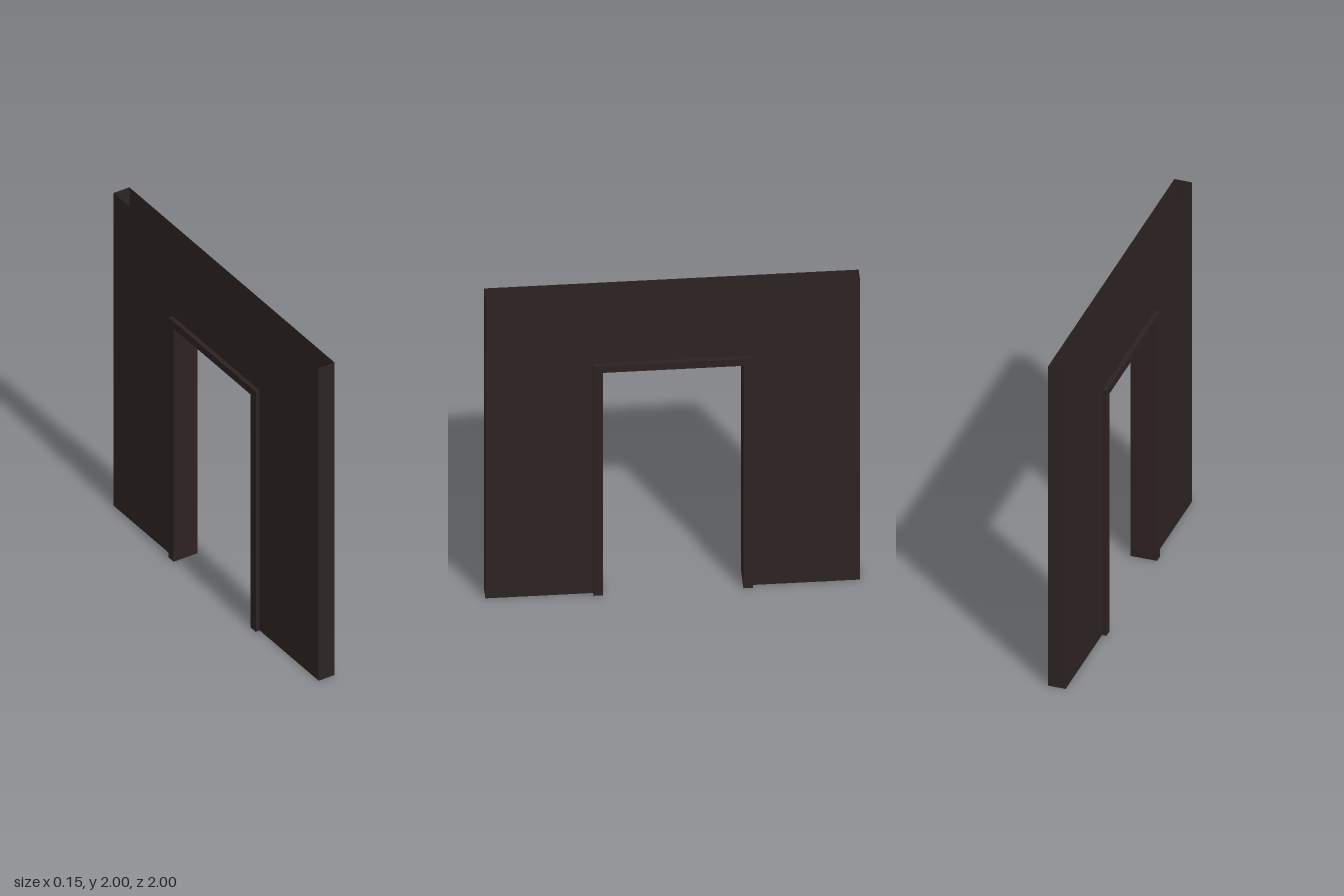
import * as THREE from 'three';

const wallPaint = new THREE.MeshStandardMaterial({ name: 'darkBrownWall', color: 0x2e2423, side: THREE.DoubleSide });
const framePaint = new THREE.MeshStandardMaterial({ name: 'darkBrownFrame', color: 0x2e2222, side: THREE.DoubleSide });

const WALL = { half: 0.05, outer: 1, top: 2, inner: 0.425, head: 1.535 };
const FRAME = { half: 0.075, outer: 0.425, top: 1.535, inner: 0.375, head: 1.49 };

// Upright arch outline with straight legs and a square opening
function archShape({ outer, top, inner, head }) {
  return new THREE.Shape([
    [-outer, 0], [-inner, 0], [-inner, head], [inner, head],
    [inner, 0], [outer, 0], [outer, top], [-outer, top],
  ].map(([z, y]) => new THREE.Vector2(z, y)));
}

function addMesh(group, name, geometry, material) {
  const mesh = new THREE.Mesh(geometry, material);
  mesh.name = name;
  group.add(mesh);
}

// The two large faces, looking along +x and -x
function addFaces(group, name, spec, material) {
  for (const side of [1, -1]) {
    const face = new THREE.ShapeGeometry(archShape(spec));
    face.rotateY(side * Math.PI / 2).translate(side * spec.half, 0, 0);
    addMesh(group, `${name}${side > 0 ? 'Left' : 'Right'}Face`, face, material);
  }
}

// A pair of upright strips at z = +-distance, facing outward or into the opening
function addUprights(group, name, half, distance, height, outward, material) {
  for (const end of [1, -1]) {
    const strip = new THREE.PlaneGeometry(half * 2, height);
    if (end * outward < 0) strip.rotateY(Math.PI);
    strip.translate(0, height / 2, end * distance);
    addMesh(group, `${name}${end > 0 ? 'Front' : 'Back'}`, strip, material);
  }
}

// A level strip facing up or down
function addLevel(group, name, half, reach, y, up, material) {
  const strip = new THREE.PlaneGeometry(half * 2, reach * 2);
  strip.rotateX(-up * Math.PI / 2).translate(0, y, 0);
  addMesh(group, name, strip, material);
}

export function createModel() {
  const model = new THREE.Group();
  model.name = 'doorwayWall';

  // Hollow wall, open along its top and bottom
  const wall = new THREE.Group();
  wall.name = 'wall';
  addFaces(wall, 'wall', WALL, wallPaint);
  addUprights(wall, 'wallEnd', WALL.half, WALL.outer, WALL.top, 1, wallPaint);

  // Door frame channel, slightly thicker than the wall and open at the feet
  const frame = new THREE.Group();
  frame.name = 'doorFrame';
  addFaces(frame, 'frame', FRAME, framePaint);
  addUprights(frame, 'frameOuterSide', FRAME.half, FRAME.outer, FRAME.top, 1, framePaint);
  addUprights(frame, 'frameJamb', FRAME.half, FRAME.inner, FRAME.head, -1, framePaint);
  addLevel(frame, 'frameTop', FRAME.half, FRAME.outer, FRAME.top, 1, framePaint);
  addLevel(frame, 'frameLintelUnderside', FRAME.half, FRAME.inner, FRAME.head, -1, framePaint);

  model.add(wall, frame);
  return model;
}
